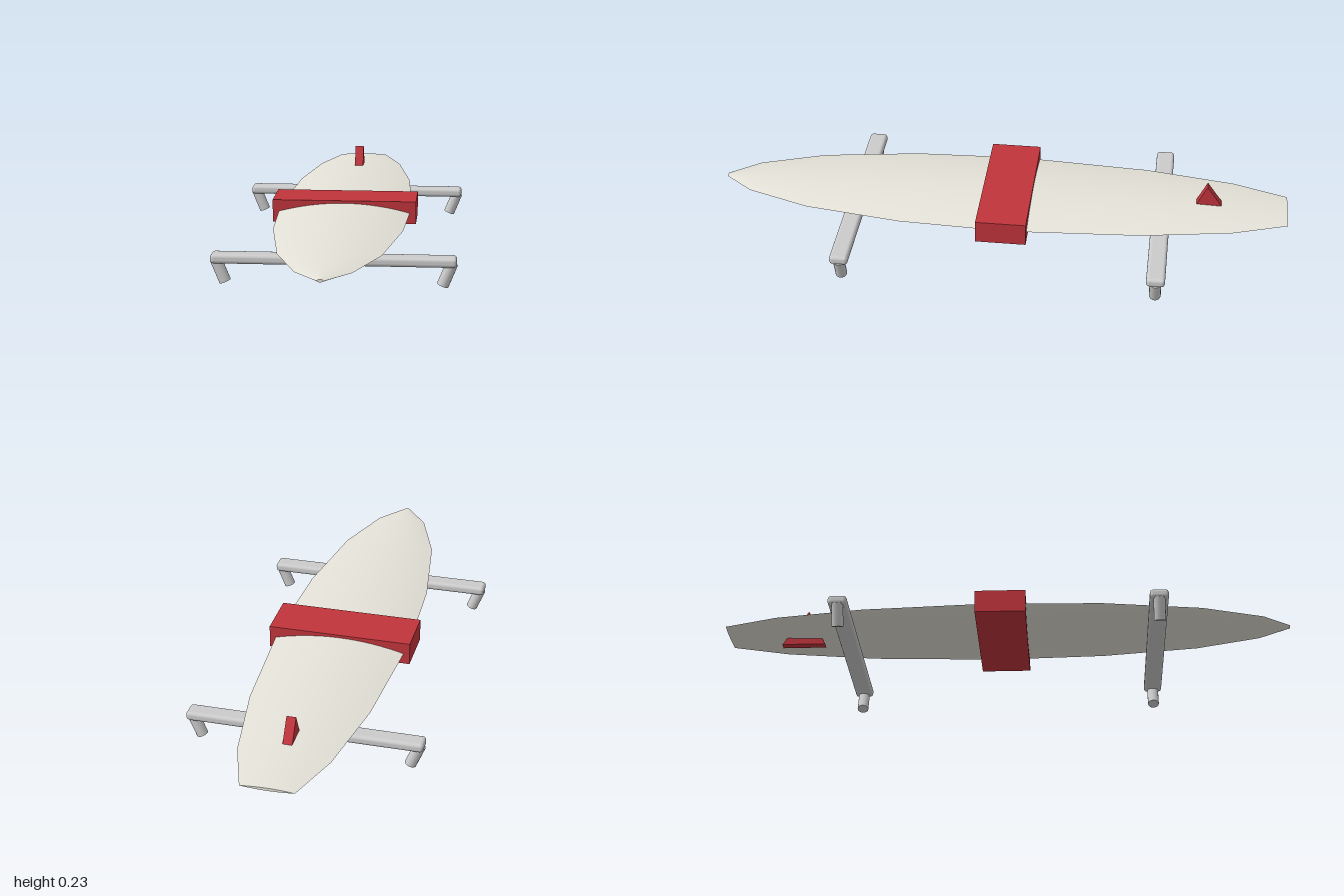
import * as THREE from 'three';
import { mergeGeometries } from 'three/addons/utils/BufferGeometryUtils.js';
import { RoundedBoxGeometry } from 'three/addons/geometries/RoundedBoxGeometry.js';

const grey = new THREE.MeshStandardMaterial({ color: 0xcccccc });
const cream = new THREE.MeshStandardMaterial({ color: 0xe4e2d8 });
const red = new THREE.MeshStandardMaterial({ color: 0xc0343c });

const BOARD_Y = 0.146;
// Board stations from tail to nose: z, half width, half thickness
const STATIONS = [
  [-1, 0.09, 0.005], [-0.81, 0.155, 0.014], [-0.5, 0.207, 0.024], [-0.1, 0.232, 0.031],
  [0.05, 0.232, 0.032], [0.34, 0.22, 0.029], [0.68, 0.168, 0.02], [0.9, 0.09, 0.011], [1, 0.012, 0.005],
];

function addMesh(parent, name, geometry, material, x = 0, y = 0, z = 0) {
  const mesh = new THREE.Mesh(geometry, material);
  mesh.name = name;
  mesh.position.set(x, y, z);
  parent.add(mesh);
  return mesh;
}

// Smooth sheet through rows of points; flip reverses the facing
function sheet(rows, flip) {
  const n = rows[0].length;
  const index = [];
  for (let i = 0; i < rows.length - 1; i++) {
    for (let j = 0; j < n - 1; j++) {
      const a = i * n + j, b = a + 1, c = a + n, d = c + 1;
      index.push(...(flip ? [a, b, c, b, d, c] : [a, c, b, b, c, d]));
    }
  }
  const g = new THREE.BufferGeometry();
  g.setAttribute('position', new THREE.Float32BufferAttribute(rows.flat(2), 3));
  g.setIndex(index);
  g.computeVertexNormals();
  return g;
}

// Lens section: deck and underside meet in a sharp rail, with flat end caps
function boardGeometry() {
  const steps = 16;
  const arc = ([z, w, t], side) => Array.from({ length: steps + 1 }, (_, j) => {
    const u = (j / steps) * 2 - 1;
    return [u * w, side * t * (1 - u * u), z];
  });
  const top = STATIONS.map((s) => arc(s, 1));
  const bottom = STATIONS.map((s) => arc(s, -1));
  const last = STATIONS.length - 1;
  return mergeGeometries([
    sheet(top, false),
    sheet(bottom, true),
    sheet([bottom[0], top[0]], false),
    sheet([top[last], bottom[last]], false),
  ]);
}

export function createModel() {
  const model = new THREE.Group();
  model.name = 'boardOnRack';

  addMesh(model, 'board', boardGeometry(), cream, 0, BOARD_Y, 0);

  // Band wrapped around the middle of the board
  addMesh(model, 'strap', new THREE.BoxGeometry(0.506, 0.08, 0.175), red, 0, 0.147, -0.018);

  // Triangular fin passing through the tail
  const outline = new THREE.Shape([
    new THREE.Vector2(-0.808, 0.107), new THREE.Vector2(-0.654, 0.107), new THREE.Vector2(-0.717, 0.235),
  ]);
  const finGeometry = new THREE.ExtrudeGeometry(outline, { depth: 0.032, bevelEnabled: false });
  finGeometry.translate(0, 0, -0.016).rotateY(-Math.PI / 2);
  addMesh(model, 'fin', finGeometry, red);

  // Two crossbars, each on a pair of feet slanting inwards
  for (const [name, z] of [['frontRack', 0.523], ['rearRack', -0.56]]) {
    const rack = new THREE.Group();
    rack.name = name;
    rack.position.z = z;
    addMesh(rack, 'crossbar', new RoundedBoxGeometry(0.81, 0.032, 0.064, 3, 0.012), grey, 0, 0.091, 0);
    for (const side of [-1, 1]) {
      const foot = addMesh(rack, side > 0 ? 'leftFoot' : 'rightFoot',
        new THREE.CylinderGeometry(0.02, 0.02, 0.081, 16), grey, side * 0.374, 0.0475, 0);
      foot.rotation.z = -side * 0.385;
    }
    model.add(rack);
  }
  return model;
}
